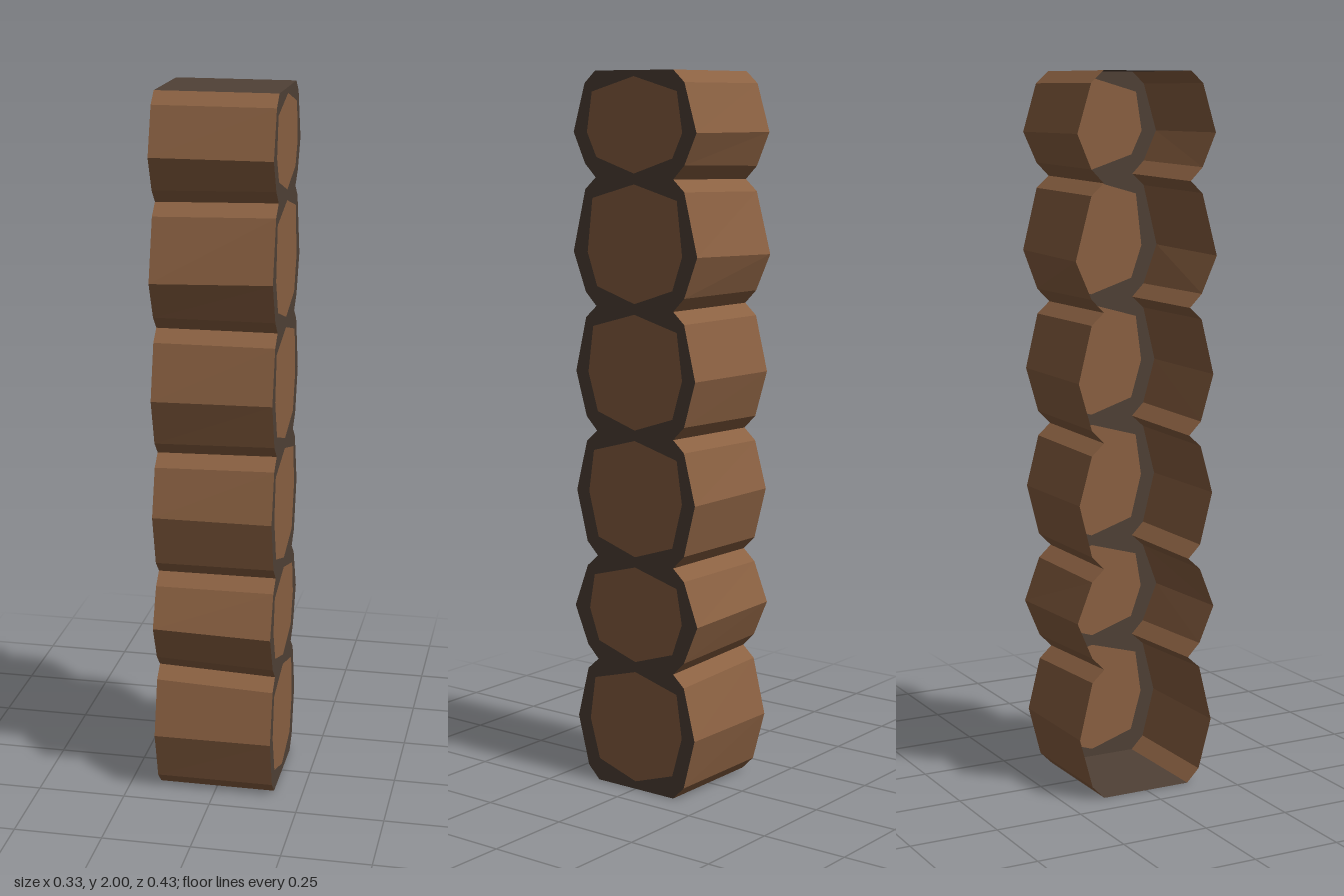
import * as THREE from 'three';

const HALF = 0.167; // half the length of the logs along x

const mat = (color) => new THREE.MeshStandardMaterial({
  color, flatShading: true, side: THREE.DoubleSide, roughness: 1, metalness: 0,
});

// Heights where logs meet, as [at -x, at +x]; hand-hewn, so slightly skewed
const JOINTS = [[0, 0], [0.37, 0.357], [0.655, 0.657], [1.005, 1.013], [1.36, 1.361], [1.705, 1.713], [2, 2]];
// Widest line of each log: [y at -x, y at +x, half width at -x, half width at +x]
const BELLIES = [
  [0.178, 0.178, 0.209, 0.207], [0.51, 0.502, 0.215, 0.216], [0.838, 0.838, 0.208, 0.207],
  [1.172, 1.176, 0.209, 0.207], [1.5, 1.509, 0.217, 0.213], [1.835, 1.835, 0.211, 0.21],
];

// One side of a log from bottom to top as [z, y]; end is 0 for -x, 1 for +x
function logSide(i, end) {
  const low = JOINTS[i][end], high = JOINTS[i + 1][end], belly = BELLIES[i];
  return [
    [0.133, low], [0.17, low + 0.037], [belly[2 + end], belly[end]],
    [0.17, high - 0.033], [0.133, high],
  ];
}

const mirror = (points) => points.map(([z, y]) => [-z, y]).reverse();

// Flat quads between matching outlines at the -x and +x ends
function strip(a, b) {
  const pos = [];
  for (let i = 0; i < a.length - 1; i++) {
    const p = [-HALF, a[i][1], a[i][0]], q = [HALF, b[i][1], b[i][0]];
    const r = [HALF, b[i + 1][1], b[i + 1][0]], s = [-HALF, a[i + 1][1], a[i + 1][0]];
    pos.push(...p, ...q, ...r, ...p, ...r, ...s);
  }
  const geo = new THREE.BufferGeometry();
  geo.setAttribute('position', new THREE.Float32BufferAttribute(pos, 3));
  geo.computeVertexNormals();
  return geo;
}

// Flat shape in the z-y plane, facing +x
function endFace(shape) {
  return new THREE.ShapeGeometry(shape).rotateY(Math.PI / 2).translate(HALF, 0, 0);
}

const toVectors = (points) => points.map(([z, y]) => new THREE.Vector2(z, y));

export function createModel() {
  const group = new THREE.Group();
  const wood = mat(0x8b6142), dark = mat(0x504136);
  const add = (name, geo, material) => {
    const mesh = new THREE.Mesh(geo, material);
    mesh.name = name;
    group.add(mesh);
  };

  const outline = [], cores = [];
  for (let i = 0; i < 6; i++) {
    const left = logSide(i, 0), right = logSide(i, 1);
    outline.push(...right.slice(i ? 1 : 0));

    // Bark facets, front and back
    add(`logFront${i + 1}`, strip(left, right), wood);
    add(`logBack${i + 1}`, strip(mirror(left), mirror(right)), wood);

    // Cut face of the log
    const low = JOINTS[i][1] + (i ? 0.013 : 0.022), high = JOINTS[i + 1][1] - 0.016;
    const half = [[0.13, low + 0.042], [0.163, BELLIES[i][1]], [0.145, high - 0.04]];
    const core = toVectors([[0, low], ...half, [0, high], ...mirror(half)]);
    cores.push(core);
    add(`logEnd${i + 1}`, endFace(new THREE.Shape(core)), wood);
  }

  // Dark rim around the cut faces; the other end is open
  const rim = new THREE.Shape(toVectors([...outline, ...mirror(outline)]));
  rim.holes = cores.map((c) => new THREE.Path([...c].reverse()));
  add('endRim', endFace(rim), dark);

  // Flat top and bottom
  const top = [[0.133, 2], [-0.133, 2]], bottom = [[-0.133, 0], [0.133, 0]];
  add('top', strip(top, top), dark);
  add('bottom', strip(bottom, bottom), dark);
  return group;
}
